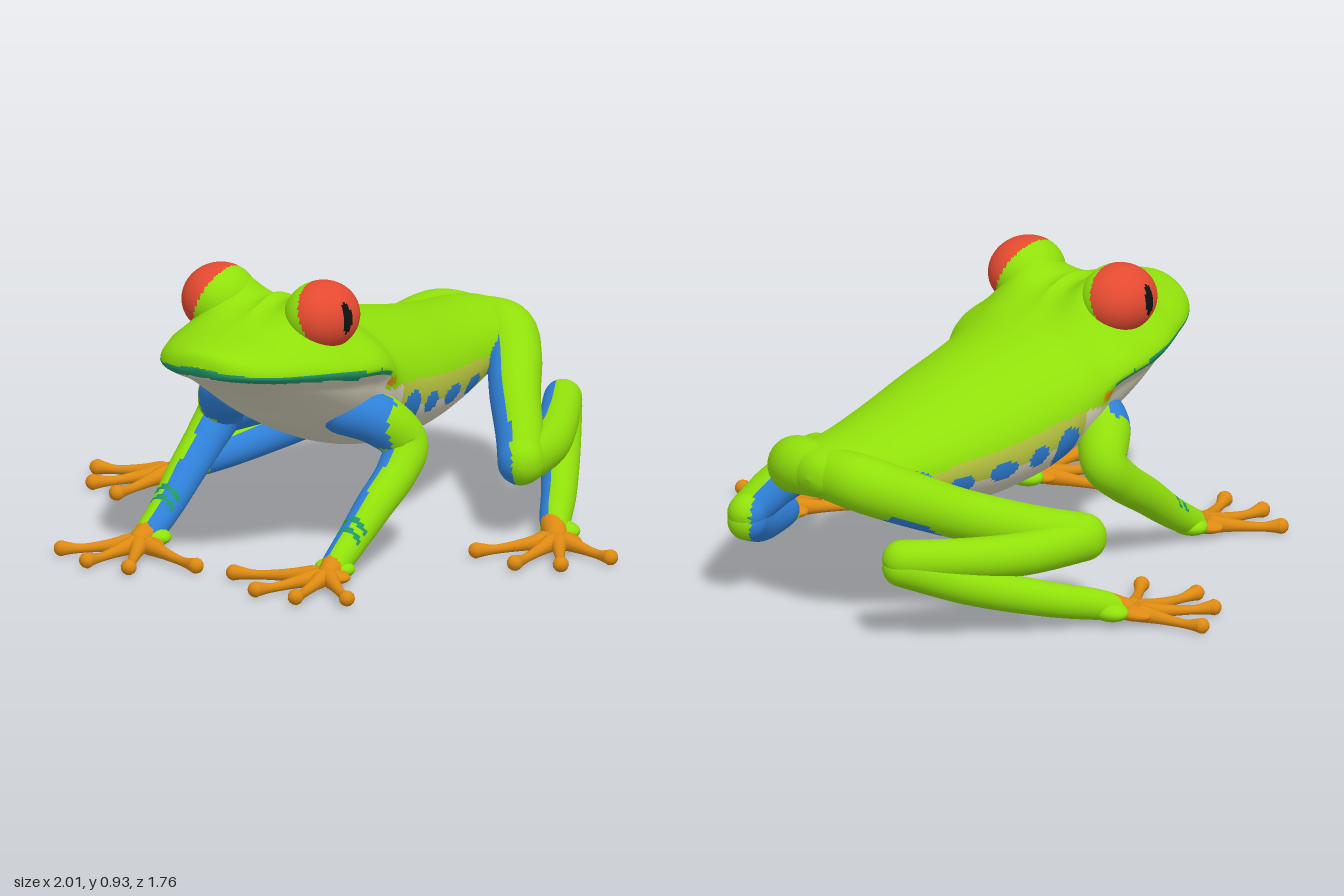
import * as THREE from 'three';

const COLOURS = {
  leafGreen: 0x90e00a, blue: 0x2f80d8, cream: 0xd4cfba, orange: 0xdd8a12,
  red: 0xe44a30, black: 0x111111, teal: 0x20966a, yellowGreen: 0xb9c640,
};
const [GREEN, BLUE, CREAM, ORANGE, RED, BLACK, TEAL, YELLOW] = [0, 1, 2, 3, 4, 5, 6, 7];

// Smooth curve through rows of numbers, t from 0 to 1
function spline(rows, t) {
  const n = rows.length - 1;
  const k = Math.min(Math.floor(t * n), n - 1), f = t * n - k;
  const at = (i) => rows[Math.max(0, Math.min(n, i))];
  const [a, b, c, d] = [at(k - 1), at(k), at(k + 1), at(k + 2)];
  return b.map((_, i) => 0.5 * (2 * b[i] + (c[i] - a[i]) * f
    + (2 * a[i] - 5 * b[i] + 4 * c[i] - d[i]) * f * f
    + (3 * b[i] - a[i] - 3 * c[i] + d[i]) * f * f * f));
}

// Skin closed rings of points; paint(centre, normal) picks the material of each face
function skin(rings, paint, side = 1) {
  const nv = rings[0].length, pos = [], buckets = {};
  rings.forEach((ring) => ring.forEach((p) => pos.push(side * p.x, p.y, p.z)));
  const normal = new THREE.Vector3(), centre = new THREE.Vector3(), diag = new THREE.Vector3();
  for (let i = 0; i < rings.length - 1; i++) {
    for (let j = 0; j < nv; j++) {
      const k = (j + 1) % nv;
      const A = rings[i][j], B = rings[i][k], C = rings[i + 1][k], D = rings[i + 1][j];
      normal.subVectors(C, A).cross(diag.subVectors(D, B)).normalize();
      centre.copy(A).add(B).add(C).add(D).multiplyScalar(0.25);
      const a = i * nv + j, b = i * nv + k, c = b + nv, d = a + nv;
      const list = (buckets[paint(centre, normal)] ??= []);
      if (side > 0) list.push(a, b, c, a, c, d);
      else list.push(a, c, b, a, d, c);
    }
  }
  const geo = new THREE.BufferGeometry(), index = [];
  for (const [m, list] of Object.entries(buckets)) {
    geo.addGroup(index.length, list.length, Number(m));
    for (const v of list) index.push(v);
  }
  geo.setAttribute('position', new THREE.Float32BufferAttribute(pos, 3));
  geo.setIndex(index);
  geo.computeVertexNormals();
  return geo;
}

// Rings of a round-ended tube through rows of x, y, z, radius
function tubeRings(rows, nu, nv) {
  const CAP = 6, rings = [], N = new THREE.Vector3(0.3, 1, 0.2), B = new THREE.Vector3();
  const point = (t) => new THREE.Vector3(...spline(rows, t));
  const addRing = (t, push, shrink) => {
    const T = point(Math.min(1, t + 0.004)).sub(point(Math.max(0, t - 0.004))).normalize();
    N.addScaledVector(T, -N.dot(T)).normalize();
    B.crossVectors(T, N);
    const r = spline(rows, t)[3], c = point(t).addScaledVector(T, push * r);
    rings.push(Array.from({ length: nv }, (_, j) => {
      const a = (j / nv) * Math.PI * 2;
      return c.clone().addScaledVector(N, Math.cos(a) * r * shrink).addScaledVector(B, Math.sin(a) * r * shrink);
    }));
  };
  for (let i = 0; i < CAP; i++) addRing(0, -Math.cos(i / CAP * Math.PI / 2), Math.sin(i / CAP * Math.PI / 2));
  for (let i = 0; i <= nu; i++) addRing(i / nu, 0, 1);
  for (let i = CAP - 1; i >= 0; i--) addRing(1, Math.cos(i / CAP * Math.PI / 2), Math.sin(i / CAP * Math.PI / 2));
  return rings;
}

// Body stations from rump to snout: z, half width, top, middle (mouth line on the head), bottom
const BODY = [
  [-0.885, 0, 0.5, 0.5, 0.5], [-0.87, 0.07, 0.545, 0.49, 0.455], [-0.83, 0.14, 0.575, 0.48, 0.43],
  [-0.75, 0.19, 0.592, 0.47, 0.4], [-0.6, 0.215, 0.607, 0.46, 0.345], [-0.4, 0.255, 0.64, 0.46, 0.29],
  [-0.2, 0.29, 0.685, 0.47, 0.265], [0, 0.31, 0.725, 0.5, 0.28], [0.12, 0.32, 0.748, 0.55, 0.31],
  [0.2, 0.345, 0.785, 0.61, 0.34], [0.28, 0.357, 0.835, 0.635, 0.375], [0.38, 0.347, 0.86, 0.645, 0.43],
  [0.48, 0.325, 0.835, 0.66, 0.5], [0.58, 0.28, 0.797, 0.67, 0.565], [0.68, 0.23, 0.78, 0.68, 0.62],
  [0.76, 0.165, 0.77, 0.69, 0.655], [0.8, 0.09, 0.753, 0.697, 0.675], [0.815, 0, 0.71, 0.71, 0.71],
];
const mouthY = (z) => {
  const i = Math.max(1, BODY.findIndex((s) => s[0] >= z)), a = BODY[i - 1], b = BODY[i];
  return a[3] + (b[3] - a[3]) * (z - a[0]) / (b[0] - a[0]);
};
// Flank spots: z, y, half length, half height
const SPOTS = [[0.03, 0.43, 0.055, 0.075], [-0.1, 0.435, 0.042, 0.035], [-0.25, 0.422, 0.058, 0.032],
  [-0.42, 0.41, 0.055, 0.035], [-0.62, 0.44, 0.09, 0.06]];

function bodyRings() {
  const nv = 112, last = BODY.length - 1, ts = [];
  for (let k = 0; k < last; k++) {
    const steps = Math.max(5, Math.ceil((BODY[k + 1][0] - BODY[k][0]) / 0.009));
    for (let i = 0; i < steps; i++) ts.push((k + i / steps) / last);
  }
  return [...ts, 1].map((t) => {
    const [z, w, top, mid, bot] = spline(BODY, t);
    const head = THREE.MathUtils.smoothstep(z, 0.14, 0.26);
    const pinch = 1 + 2 * Math.exp(-(((z - 0.38) / 0.14) ** 2));
    return Array.from({ length: nv }, (_, j) => {
      const a = (j / nv) * Math.PI * 2, s = Math.sin(a), c = Math.cos(a);
      let d = s * (s > 0 ? top - mid : mid - bot);
      // Lips overhang the throat, the upper head narrows below the eyes
      const inset = 1 - 0.1 * head * Math.min(1, Math.max(0, -d / 0.05));
      const x = Math.max(0, w) * Math.sign(c) * Math.abs(c) ** (s > 0 ? pinch : 1) * inset;
      // Brow mounds
      if (s > 0) {
        const rise = Math.exp(-(((Math.abs(x) - 0.15) / 0.075) ** 2) - ((z - 0.37) / 0.125) ** 2);
        d += 0.12 * rise * Math.min(1, s * 2);
      }
      return new THREE.Vector3(x, mid + d, z);
    });
  });
}

function paintBody(p) {
  if (p.z > 0.21) {
    const d = p.y - mouthY(p.z);
    return d > 0.006 ? GREEN : d > -0.018 ? TEAL : CREAM;
  }
  if (p.z < -0.78) return GREEN;
  // Mouth corner
  if (((p.z - 0.185) / 0.022) ** 2 + ((p.y - 0.575) / 0.016) ** 2 < 1) return ORANGE;
  for (const [z, y, rz, ry] of SPOTS) {
    if (((p.z - z) / rz) ** 2 + ((p.y - y) / ry) ** 2 < 1) return BLUE;
  }
  const upper = 0.533 + p.z * 0.108;
  const lower = p.z > 0.1 ? 0.545 : 0.445 + p.z * 0.1;
  return p.y > upper ? GREEN : p.y > lower && p.z > -0.56 ? YELLOW : CREAM;
}

// Limb paint: green outside, blue inside
const paintArm = (p, n) => {
  if (p.z > 0.58) return ORANGE;
  const band = Math.abs(p.z - 0.455) < 0.008 || Math.abs(p.z - 0.487) < 0.008;
  if (band && n.y > 0.3) return TEAL;
  const shoulder = p.y > 0.36 && p.z > 0.2 && p.x < 0.36;
  return shoulder || -0.75 * n.x + 0.65 * n.z > 0.45 ? BLUE : GREEN;
};
const paintLeg = (p, n) => {
  if (p.z > -0.2 && p.y < 0.12) return ORANGE;
  const groin = p.z < -0.5 && p.z > -0.76 && p.x < 0.32 && n.y < -0.5;
  return groin || (p.x < 0.585 || p.y < 0.17) && -0.85 * n.x - 0.1 * n.y + 0.5 * n.z > 0.33 ? BLUE : GREEN;
};

const LIMBS = {
  frontLeg: [paintArm, [[0.2, 0.48, 0.27, 0.08], [0.29, 0.45, 0.21, 0.085], [0.35, 0.365, 0.145, 0.075],
    [0.365, 0.285, 0.215, 0.066], [0.36, 0.2, 0.34, 0.06], [0.355, 0.12, 0.45, 0.052],
    [0.355, 0.062, 0.545, 0.046], [0.36, 0.04, 0.6, 0.036]]],
  thigh: [paintLeg, [[0, 0.497, -0.785, 0.085], [0.13, 0.49, -0.775, 0.093], [0.225, 0.44, -0.68, 0.09],
    [0.335, 0.365, -0.52, 0.082], [0.47, 0.3, -0.34, 0.077], [0.567, 0.26, -0.2, 0.075]]],
  shin: [paintLeg, [[0.567, 0.254, -0.2, 0.075], [0.515, 0.25, -0.43, 0.07], [0.425, 0.265, -0.63, 0.066],
    [0.33, 0.288, -0.805, 0.062]]],
  lowerHindLeg: [paintLeg, [[0.33, 0.26, -0.805, 0.062], [0.45, 0.175, -0.61, 0.063], [0.58, 0.105, -0.4, 0.057],
    [0.665, 0.066, -0.25, 0.05], [0.72, 0.042, -0.17, 0.036]]],
};
// Feet: ankle, palm centre, and the x, z of each toe tip
const FEET = {
  frontFoot: [[0.35, 0.55], [0.355, 0.605], [[0.555, 0.785], [0.4, 0.865], [0.235, 0.86], [0.055, 0.72]]],
  hindFoot: [[0.7, -0.225], [0.735, -0.16], [[0.992, -0.09], [0.9, 0.075], [0.76, 0.145], [0.565, 0.085]]],
};

// Eyeball: red outside, green lid inside, black upright pupil
const EYE = new THREE.Vector3(0.195, 0.82, 0.388);
function eyeRings() {
  const nu = 48, nv = 80;
  return Array.from({ length: nu + 1 }, (_, i) => Array.from({ length: nv }, (_, j) => {
    const u = (i / nu) * Math.PI, a = (j / nv) * Math.PI * 2;
    return new THREE.Vector3(Math.sin(u) * Math.sin(a) * 0.117, -Math.cos(u) * 0.112, Math.sin(u) * Math.cos(a) * 0.133).add(EYE);
  }));
}
const paintEye = (p) => {
  if (p.x > EYE.x && ((p.z - 0.41) / 0.02) ** 2 + ((p.y - 0.83) / 0.05) ** 2 < 1) return BLACK;
  return p.x > 0.16 + (0.92 - p.y) * 0.4 ? RED : GREEN;
};

export function createModel() {
  const frog = new THREE.Group();
  frog.name = 'treeFrog';
  const mats = Object.entries(COLOURS).map(([name, color]) => {
    const m = new THREE.MeshStandardMaterial({ color });
    m.name = name;
    return m;
  });
  const add = (name, geo, mat, parent) => {
    const mesh = new THREE.Mesh(geo, mat);
    mesh.name = name;
    parent.add(mesh);
    return mesh;
  };
  const ball = (name, mat, pos, size, parent) => {
    const mesh = add(name, new THREE.SphereGeometry(1, 32, 20), mat, parent);
    mesh.position.set(...pos);
    mesh.scale.set(...size);
  };

  add('body', skin(bodyRings(), paintBody), mats, frog);

  for (const [label, s] of [['left', 1], ['right', -1]]) {
    const half = new THREE.Group();
    half.name = label + 'Side';
    frog.add(half);
    add('eye', skin(eyeRings(), paintEye, s), mats, half);

    // Limbs
    for (const [name, [paint, rows]] of Object.entries(LIMBS)) {
      add(name, skin(tubeRings(rows, 80, 32), paint, s), mats, half);
    }

    // Feet with flared ankles and knobbed toes
    for (const [name, [[ax, az], [px, pz], tips]] of Object.entries(FEET)) {
      const foot = new THREE.Group();
      foot.name = name;
      half.add(foot);
      ball('ankle', mats[GREEN], [s * ax, 0.045, az], [0.07, 0.032, 0.05], foot);
      ball('palm', mats[ORANGE], [s * px, 0.034, pz], [0.085, 0.025, 0.05], foot);
      for (const [tx, tz] of tips) {
        const toe = [[0.15, 0.034, 0.03], [0.4, 0.028, 0.02], [0.7, 0.023, 0.015], [0.87, 0.025, 0.021], [0.94, 0.026, 0.026]]
          .map(([f, y, r]) => [px + (tx - px) * f, y, pz + (tz - pz) * f, r]);
        add('toe', skin(tubeRings(toe, 16, 12), () => ORANGE, s), mats, foot);
      }
    }
  }
  return frog;
}
